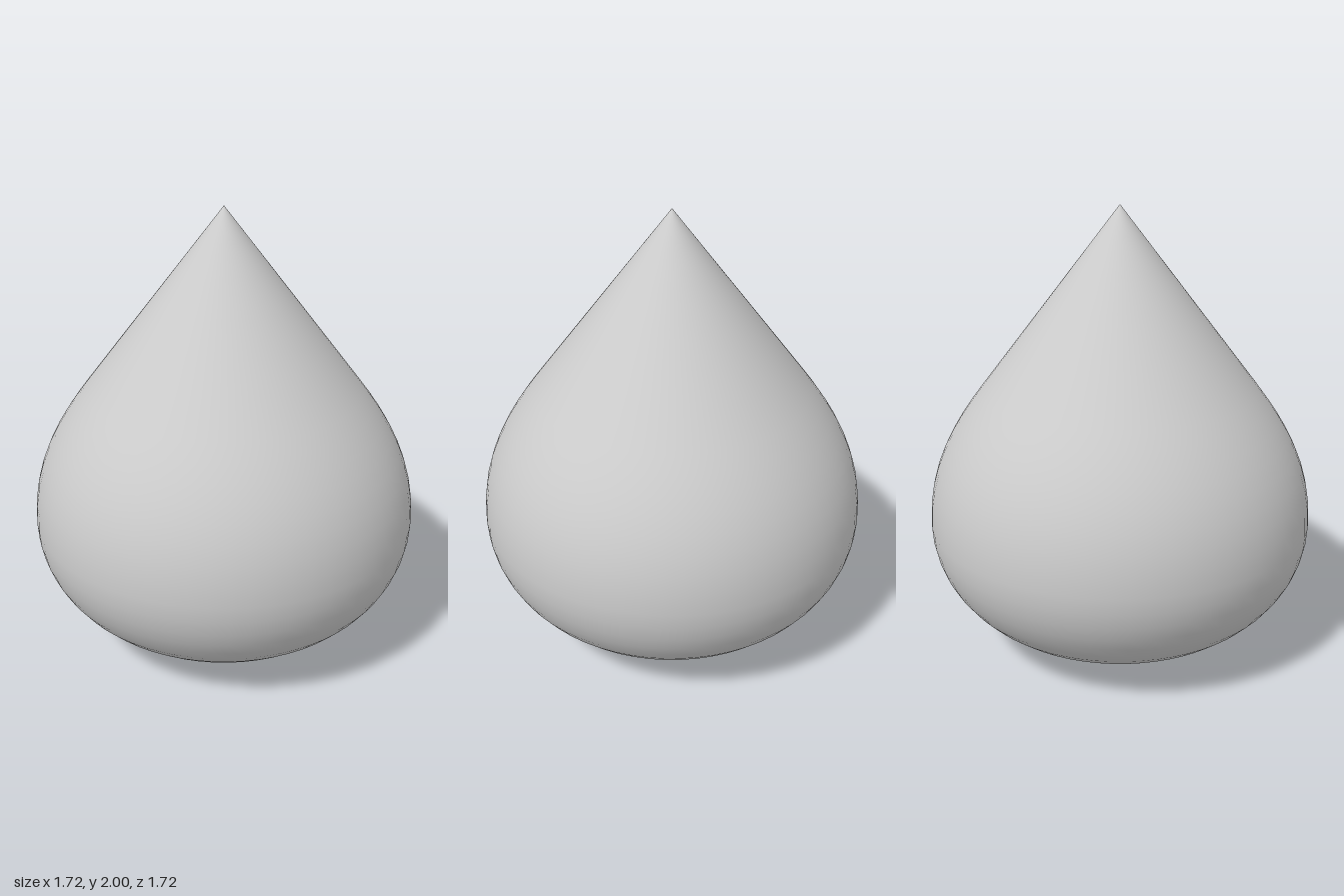
import * as THREE from 'three';

const v = (x, y) => new THREE.Vector2(x, y);

export function createModel() {
  const group = new THREE.Group();
  group.name = 'drop';

  // Profile: rounded base, bulging shoulder, straight cone to the tip
  const base = new THREE.CubicBezierCurve(v(0, 0), v(0.52, 0), v(0.86, 0.25), v(0.86, 0.6));
  const shoulder = new THREE.CubicBezierCurve(v(0.86, 0.6), v(0.86, 0.85), v(0.745, 1.03), v(0.615, 1.2));
  const cone = new THREE.LineCurve(v(0.615, 1.2), v(0, 2));
  const profile = [
    ...base.getPoints(14),
    ...shoulder.getPoints(8).slice(1),
    ...cone.getPoints(6).slice(1),
  ];

  // Teardrop body, smooth all round
  const body = new THREE.Mesh(
    new THREE.LatheGeometry(profile, 64),
    new THREE.MeshStandardMaterial({ color: 0xcccccc })
  );
  body.name = 'teardropBody';
  group.add(body);
  return group;
}
